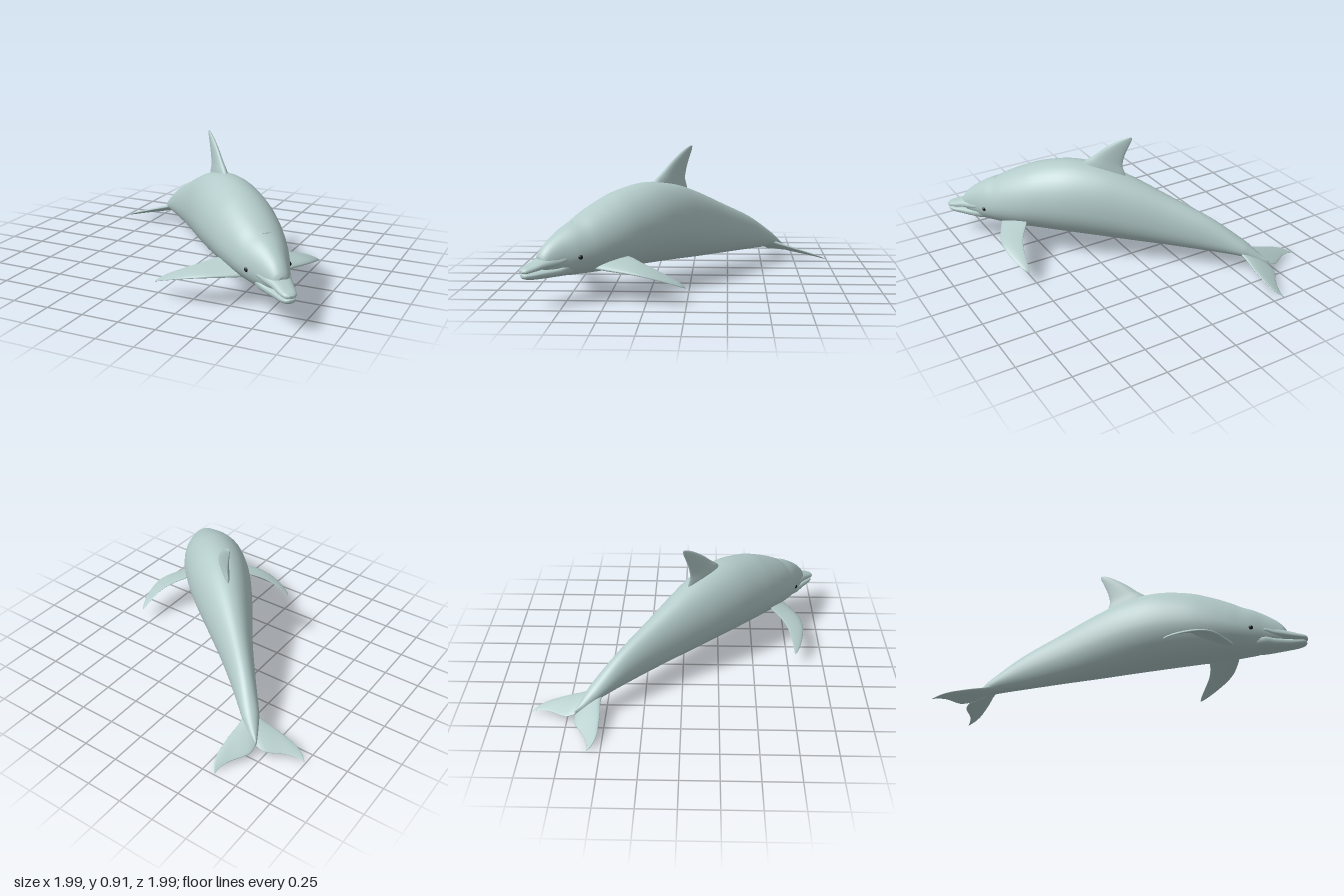
import * as THREE from 'three';

const DIAG = Math.SQRT2; // lengthwise positions are given along the diagonal
const skin = new THREE.MeshStandardMaterial({ color: 0xb3cbca });
const dark = new THREE.MeshStandardMaterial({ color: 0x141818 });

// Smoothly resample a table of section rows (Catmull-Rom on every column)
function resample(rows, steps) {
  const out = [], last = rows.length - 1;
  for (let i = 0; i <= last * steps; i++) {
    const k = Math.min(Math.floor(i / steps), last - 1), t = i / steps - k;
    const r = [k - 1, k, k + 1, k + 2].map(n => rows[THREE.MathUtils.clamp(n, 0, last)]);
    out.push(r[0].map((_, c) => {
      const [p0, p1, p2, p3] = r.map(row => row[c]);
      return p1 + 0.5 * t * (p2 - p0 + t * (2 * p0 - 5 * p1 + 4 * p2 - p3 + t * (3 * (p1 - p2) + p3 - p0)));
    }));
  }
  return out;
}

// Skin closed rings of points, cap both ends, and face outward
function loft(rings) {
  const n = rings[0].length, m = rings.length, pts = rings.flat(), tris = [];
  for (let i = 0; i < m - 1; i++) {
    for (let j = 0; j < n; j++) {
      const a = i * n + j, b = i * n + (j + 1) % n;
      tris.push([a, b, a + n], [b, b + n, a + n]);
    }
  }
  const centre = ring => ring.reduce((s, p) => s.add(p), new THREE.Vector3()).divideScalar(n);
  pts.push(centre(rings[0]), centre(rings[m - 1]));
  for (let j = 0; j < n; j++) {
    const k = (j + 1) % n, e = (m - 1) * n;
    tris.push([m * n, k, j], [m * n + 1, e + j, e + k]);
  }
  const v = new THREE.Vector3();
  const volume = tris.reduce((s, [a, b, c]) => s + pts[a].dot(v.crossVectors(pts[b], pts[c])), 0);
  if (volume < 0) tris.forEach(t => t.reverse());
  const g = new THREE.BufferGeometry().setFromPoints(pts);
  g.setIndex(tris.flat());
  g.computeVertexNormals();
  return g;
}

// Rounded trunk: rows of [position, half width, top, bottom]
function trunk(rows, power = 1, sides = 40, waist = 0.45) {
  const bend = v => Math.sign(v) * Math.abs(v) ** power;
  return loft(resample(rows, 6).map(([a, w, top, bottom]) => {
    const mid = bottom + waist * (top - bottom);
    return Array.from({ length: sides }, (_, j) => {
      const t = j / sides * Math.PI * 2, s = bend(Math.sin(t));
      return new THREE.Vector3(w * bend(Math.cos(t)), mid + s * (s > 0 ? top - mid : mid - bottom), a * DIAG);
    });
  }));
}

// Fin: rows of [leading x, y, position, trailing x, y, position, half thickness]
function fin(rows, normal, side = 1) {
  const sides = 24;
  return loft(resample(rows, 5).map(([lx, ly, la, tx, ty, ta, th]) => {
    const lead = new THREE.Vector3(side * lx, ly, la * DIAG);
    const trail = new THREE.Vector3(side * tx, ty, ta * DIAG);
    return Array.from({ length: sides }, (_, j) => {
      const t = j / sides * Math.PI * 2;
      return trail.clone().lerp(lead, 0.5 + 0.5 * Math.cos(t))
        .addScaledVector(normal, th * Math.sin(t) * (0.75 + 0.25 * Math.cos(t)));
    });
  }));
}

export function createModel() {
  const model = new THREE.Group();
  model.name = 'dolphin';
  const add = (name, geometry, material = skin) => {
    const mesh = new THREE.Mesh(geometry, material);
    mesh.name = name;
    model.add(mesh);
    return mesh;
  };
  const up = new THREE.Vector3(0, 1, 0), across = new THREE.Vector3(1, 0, 0);

  // Body from tail stock to forehead
  add('body', trunk([
    [-0.69, 0.006, 0.095, 0.065], [-0.65, 0.025, 0.13, 0.08], [-0.6, 0.045, 0.185, 0.1],
    [-0.55, 0.06, 0.235, 0.112], [-0.4, 0.08, 0.365, 0.12], [-0.2, 0.115, 0.49, 0.13],
    [0, 0.165, 0.61, 0.14], [0.15, 0.202, 0.675, 0.15], [0.3, 0.225, 0.695, 0.157],
    [0.45, 0.225, 0.66, 0.162], [0.55, 0.212, 0.61, 0.163], [0.64, 0.187, 0.552, 0.165],
    [0.7, 0.163, 0.505, 0.168], [0.75, 0.138, 0.475, 0.17], [0.8, 0.106, 0.435, 0.18],
    [0.85, 0.076, 0.385, 0.2], [0.88, 0.054, 0.342, 0.22], [0.893, 0.028, 0.312, 0.24],
  ]));

  // Beak, split along the mouth line
  add('upperJaw', trunk([
    [0.72, 0.1, 0.33, 0.26], [0.79, 0.11, 0.325, 0.268], [0.84, 0.088, 0.315, 0.247],
    [0.89, 0.068, 0.298, 0.238], [0.94, 0.054, 0.272, 0.228], [0.97, 0.04, 0.258, 0.224],
    [0.983, 0.018, 0.245, 0.228],
  ], 0.85, 28, 0.4));
  add('lowerJaw', trunk([
    [0.72, 0.09, 0.26, 0.18], [0.79, 0.102, 0.266, 0.178], [0.84, 0.082, 0.246, 0.178],
    [0.89, 0.063, 0.236, 0.178], [0.94, 0.049, 0.226, 0.182], [0.968, 0.034, 0.222, 0.19],
    [0.978, 0.014, 0.217, 0.2],
  ], 0.85, 28, 0.6));

  // Swept back fin
  add('dorsalFin', fin([
    [0, 0.62, 0.27, 0, 0.56, 0.02, 0.048], [0, 0.7, 0.235, 0, 0.64, 0.033, 0.04],
    [0, 0.755, 0.185, 0, 0.7, 0.045, 0.03], [0, 0.82, 0.13, 0, 0.78, 0.033, 0.023],
    [0, 0.875, 0.072, 0, 0.85, 0.012, 0.016], [0, 0.905, 0.032, 0, 0.885, 0.001, 0.01],
    [0, 0.917, 0.008, 0, 0.912, -0.003, 0.004],
  ], across));

  // Tail fluke stations: [sideways, leading position, trailing position, half thickness]
  const flukeY = a => 0.12 + 0.6 * (a + 0.6);
  const flukeRows = [
    [0, -0.53, -0.69, 0.026], [0.04, -0.55, -0.72, 0.024], [0.09, -0.59, -0.732, 0.02],
    [0.15, -0.628, -0.74, 0.015], [0.2, -0.665, -0.75, 0.012], [0.25, -0.705, -0.768, 0.008],
    [0.28, -0.745, -0.785, 0.005], [0.288, -0.782, -0.79, 0.002],
  ].map(([x, l, t, th]) => [x, flukeY(l), l, x, flukeY(t), t, th]);

  const flipperRows = [
    [0.1, 0.21, 0.66, 0.12, 0.28, 0.52, 0.03], [0.2, 0.207, 0.64, 0.21, 0.262, 0.5, 0.026],
    [0.354, 0.2, 0.6, 0.31, 0.235, 0.49, 0.019], [0.45, 0.18, 0.55, 0.4, 0.205, 0.47, 0.014],
    [0.52, 0.147, 0.485, 0.48, 0.165, 0.437, 0.01], [0.558, 0.117, 0.43, 0.535, 0.127, 0.41, 0.006],
    [0.563, 0.103, 0.405, 0.558, 0.103, 0.4, 0.002],
  ];

  // Paired parts
  for (const [label, side] of [['left', 1], ['right', -1]]) {
    add(label + 'Fluke', fin(flukeRows, up, side));
    add(label + 'Flipper', fin(flipperRows, up, side));
    const eye = add(label + 'Eye', new THREE.SphereGeometry(0.015, 16, 12), dark);
    eye.position.set(side * 0.137, 0.3, 0.742 * DIAG);
    const lid = add(label + 'Eyelid', new THREE.TorusGeometry(0.017, 0.005, 8, 20));
    lid.position.copy(eye.position);
    lid.rotation.y = side * 1.2;
    lid.scale.y = 0.8;
  }

  // Blowhole ridge on top of the head
  const ridge = new THREE.CatmullRomCurve3([-0.045, -0.022, 0, 0.022, 0.045].map(x =>
    new THREE.Vector3(x, 0.496 - 5 * x * x, 0.71 * DIAG - 4 * x * x)));
  add('blowhole', new THREE.TubeGeometry(ridge, 16, 0.006, 8));

  // Turn the body onto the diagonal
  model.rotation.y = Math.PI / 4;
  const root = new THREE.Group();
  root.name = 'dolphinRoot';
  root.add(model);
  return root;
}
